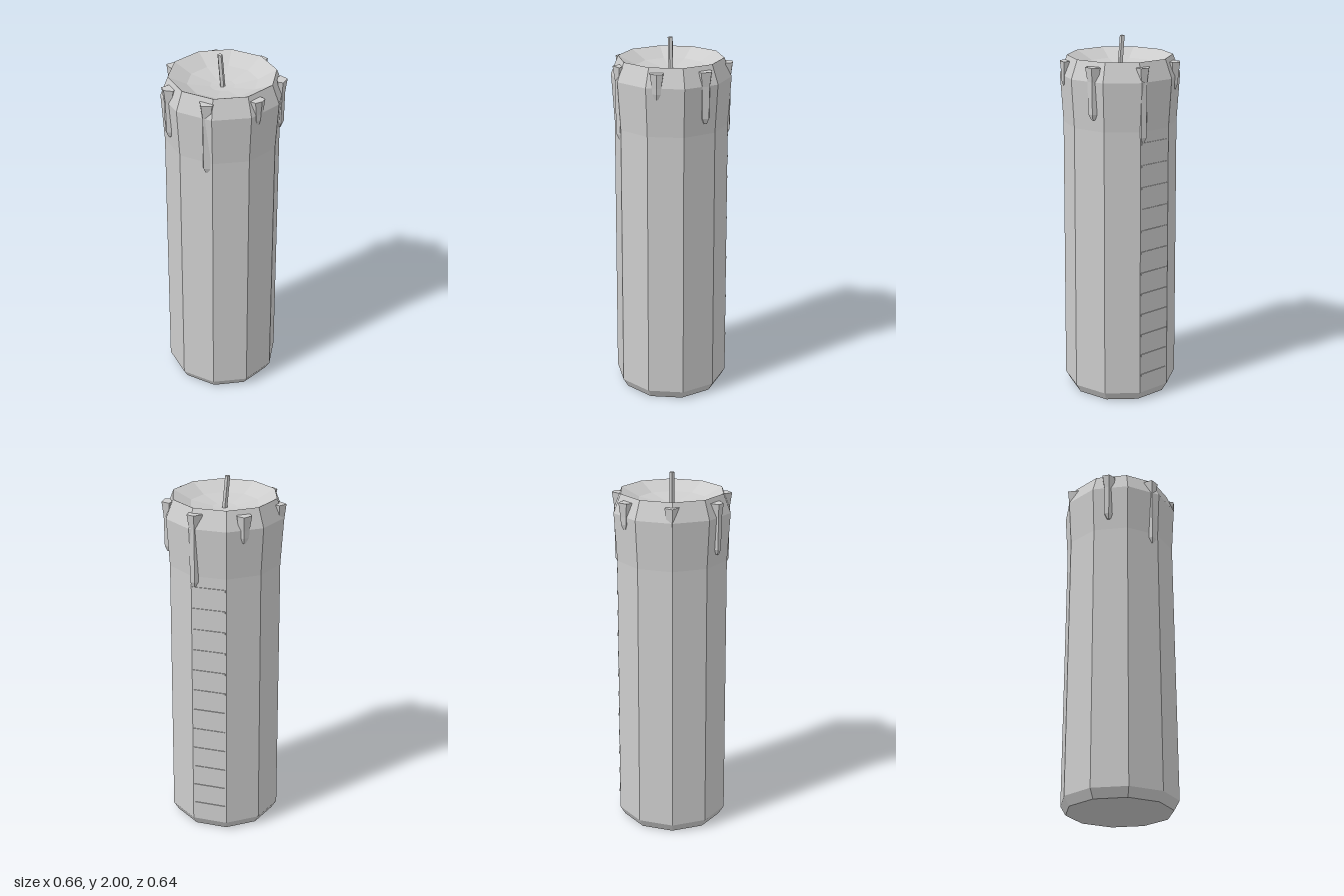
import * as THREE from 'three';

const wax = new THREE.MeshStandardMaterial({ color: 0xcccccc, flatShading: true });
wax.name = 'grey wax';

function addMesh(parent, name, geometry) {
  const mesh = new THREE.Mesh(geometry, wax);
  mesh.name = name;
  parent.add(mesh);
  return mesh;
}

// Closed solid through rings of equal point count, ordered bottom to top
function loft(rings) {
  const n = rings[0].length, pos = [];
  const tri = (a, b, c) => pos.push(...a, ...b, ...c);
  for (let r = 0; r < rings.length - 1; r++) {
    const lo = rings[r], hi = rings[r + 1];
    for (let i = 0; i < n; i++) {
      const j = (i + 1) % n;
      tri(lo[i], hi[i], hi[j]);
      tri(lo[i], hi[j], lo[j]);
    }
  }
  const bottom = rings[0], top = rings[rings.length - 1];
  for (let i = 1; i < n - 1; i++) {
    tri(bottom[0], bottom[i], bottom[i + 1]);
    tri(top[0], top[i + 1], top[i]);
  }
  const geometry = new THREE.BufferGeometry();
  geometry.setAttribute('position', new THREE.Float32BufferAttribute(pos, 3));
  geometry.computeVertexNormals();
  return geometry;
}

// Wax run: wide head, narrow stem, pointed end
function dripGeometry(outline, bottomY) {
  const cx = outline.reduce((s, p) => s + p[0], 0) / outline.length;
  const cz = outline.reduce((s, p) => s + p[1], 0) / outline.length;
  const ring = (y, k) => outline.map(([x, z]) => [cx + (x - cx) * k, y, cz + (z - cz) * k]);
  return loft([
    ring(bottomY, 0.25), ring(bottomY + 0.03, 0.64), ring(1.8, 0.7), ring(1.875, 1),
  ]);
}

export function createModel() {
  const group = new THREE.Group();
  group.name = 'candle';

  // Ten-sided body with bevelled foot, flared head and melted hollow
  const profile = [
    [0, 0], [0.287, 0], [0.316, 0.05], [0.307, 1.54], [0.323, 1.8],
    [0.283, 1.9], [0.185, 1.852], [0.065, 1.83], [0, 1.826],
  ].map(([r, y]) => new THREE.Vector2(r, y));
  const body = addMesh(group, 'body', new THREE.LatheGeometry(profile, 10, Math.PI / 2));
  body.position.x = 0.003;

  // Leaning wick
  const wickRing = (cx, y) => Array.from({ length: 5 }, (_, i) => {
    const a = Math.PI + i * Math.PI * 0.4;
    return [cx + 0.014 * Math.cos(a), y, 0.014 * Math.sin(a)];
  });
  addMesh(group, 'wick', loft([wickRing(0.004, 1.815), wickRing(-0.013, 2)]));

  // Wax drips: bottom height and head outline (x, z)
  const drips = [
    [1.48, [[0.035, -0.283], [0.07, -0.322], [0.112, -0.308], [0.112, -0.27], [0.075, -0.255]]],
    [1.73, [[-0.21, -0.235], [-0.18, -0.277], [-0.137, -0.263], [-0.132, -0.248], [-0.19, -0.207]]],
    [1.6, [[0.247, -0.128], [0.257, -0.16], [0.303, -0.145], [0.303, -0.09], [0.275, -0.085]]],
    [1.74, [[0.262, 0.095], [0.297, 0.105], [0.297, 0.14], [0.275, 0.17], [0.245, 0.165]]],
    [1.48, [[0.02, 0.28], [0.06, 0.26], [0.098, 0.278], [0.1, 0.297], [0.05, 0.322]]],
    [1.6, [[-0.222, 0.238], [-0.2, 0.197], [-0.147, 0.235], [-0.147, 0.25], [-0.194, 0.264]]],
    [1.75, [[-0.33, 0], [-0.303, -0.04], [-0.28, -0.033], [-0.28, 0.035], [-0.303, 0.02]]],
  ];
  const dripGroup = new THREE.Group();
  dripGroup.name = 'drips';
  group.add(dripGroup);
  for (const [bottomY, outline] of drips) addMesh(dripGroup, 'drip', dripGeometry(outline, bottomY));

  // Thin hour marks up the back face
  const marks = new THREE.Group();
  marks.name = 'hourMarks';
  group.add(marks);
  const markGeometry = new THREE.BoxGeometry(0.18, 0.012, 0.012);
  for (let i = 0; i < 12; i++) {
    const y = 0.155 + i * 0.12;
    const faceZ = -Math.cos(Math.PI / 10) * THREE.MathUtils.mapLinear(y, 0.05, 1.54, 0.316, 0.307);
    addMesh(marks, 'hourMark', markGeometry).position.set(0.003, y, faceZ + 0.002);
  }
  return group;
}
